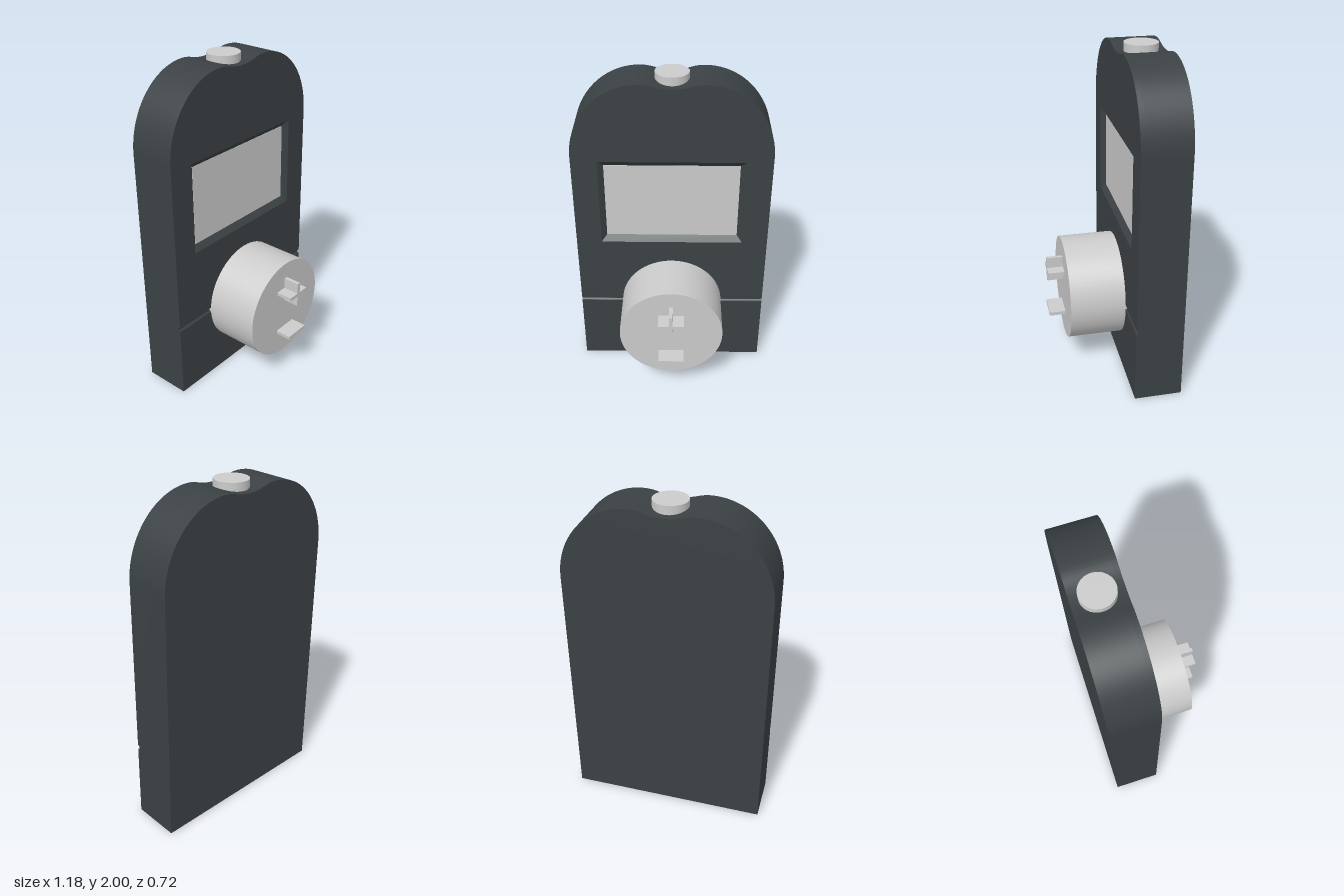
import * as THREE from 'three';
import { toCreasedNormals } from 'three/addons/utils/BufferGeometryUtils.js';

const W = 0.59, BACK = -0.36, FRONT = -0.075, FLOOR = -0.105;
const GROOVE_Y = 0.475, GROOVE_H = 0.03;

const grey = new THREE.MeshStandardMaterial({ color: 0xcccccc });
const dark = new THREE.MeshStandardMaterial({ color: 0x3b4144 });

// Arched outline with a shallow dip at the crown, starting at height y0
function archShape(y0) {
  const s = new THREE.Shape();
  s.moveTo(-W, y0);
  s.lineTo(W, y0);
  s.lineTo(W, 1.53);
  s.absellipse(0.185, 1.53, 0.405, 0.447, 0, Math.PI / 2, false);
  s.bezierCurveTo(0.11, 1.977, 0.1, 1.95, 0, 1.95);
  s.bezierCurveTo(-0.1, 1.95, -0.11, 1.977, -0.185, 1.977);
  s.absellipse(-0.185, 1.53, 0.405, 0.447, Math.PI / 2, Math.PI, false);
  s.lineTo(-W, y0);
  return s;
}

function rectPoints(hx, y0, y1) {
  return [[-hx, y0], [hx, y0], [hx, y1], [-hx, y1]];
}

function extrude(shape, depth) {
  const g = new THREE.ExtrudeGeometry(shape, { depth, bevelEnabled: false, curveSegments: 24 });
  return toCreasedNormals(g, 0.6);
}

// Four sloping faces joining an outer front rectangle to an inner back one
function slopedFrame(outer, zOuter, inner, zInner) {
  const pos = [];
  for (let i = 0; i < 4; i++) {
    const j = (i + 1) % 4;
    const a = [...outer[i], zOuter], b = [...outer[j], zOuter];
    const c = [...inner[j], zInner], d = [...inner[i], zInner];
    pos.push(...a, ...b, ...c, ...a, ...c, ...d);
  }
  const g = new THREE.BufferGeometry();
  g.setAttribute('position', new THREE.Float32BufferAttribute(pos, 3));
  g.computeVertexNormals();
  return g;
}

export function createModel() {
  const model = new THREE.Group();
  model.name = 'handheldTimer';

  function add(parent, name, geometry, material, x = 0, y = 0, z = 0) {
    const mesh = new THREE.Mesh(geometry, material);
    mesh.name = name;
    mesh.position.set(x, y, z);
    parent.add(mesh);
    return mesh;
  }

  // Casing: solid back, and a front layer split by the groove
  const casing = new THREE.Group();
  casing.name = 'casing';
  model.add(casing);
  add(casing, 'casingBack', extrude(archShape(0), FLOOR - BACK), dark, 0, 0, BACK);

  const outer = rectPoints(0.435, 0.935, 1.5);
  const inner = rectPoints(0.402, 0.973, 1.463);
  const face = archShape(GROOVE_Y + GROOVE_H);
  face.holes.push(new THREE.Path(outer.map(([x, y]) => new THREE.Vector2(x, y)).reverse()));
  add(casing, 'upperFace', extrude(face, FRONT - FLOOR), dark, 0, 0, FLOOR);

  const lowerH = GROOVE_Y - GROOVE_H;
  add(casing, 'lowerFace', new THREE.BoxGeometry(2 * W, lowerH, FRONT - FLOOR), dark,
    0, lowerH / 2, (FRONT + FLOOR) / 2);

  // Strip with a rounded groove; profile is drawn as (-z, y) and swept along x
  const strip = new THREE.Shape();
  strip.moveTo(-FRONT, GROOVE_Y - GROOVE_H);
  strip.lineTo(-FLOOR, GROOVE_Y - GROOVE_H);
  strip.lineTo(-FLOOR, GROOVE_Y + GROOVE_H);
  strip.lineTo(-FRONT, GROOVE_Y + GROOVE_H);
  strip.lineTo(-FRONT, GROOVE_Y + 0.015);
  strip.absellipse(-FRONT, GROOVE_Y, 0.013, 0.015, Math.PI / 2, -Math.PI / 2, true);
  strip.closePath();
  const groove = extrude(strip, 2 * W);
  groove.rotateY(Math.PI / 2);
  add(casing, 'groove', groove, dark, -W);

  // Screen set behind a sloped surround
  add(model, 'screenSurround', slopedFrame(outer, FRONT, inner, FLOOR), dark);
  add(model, 'screen', new THREE.BoxGeometry(0.804, 0.49, 0.02), grey, 0, 1.218, FLOOR - 0.008);

  // Control knob with raised plus and minus bars
  const knob = new THREE.Group();
  knob.name = 'knob';
  knob.position.y = 0.472;
  model.add(knob);
  const drum = new THREE.CylinderGeometry(0.319, 0.319, 0.357, 64);
  drum.rotateX(Math.PI / 2);
  add(knob, 'knobDrum', drum, grey, 0, 0, 0.0785);
  const bar = (name, w, h, y) =>
    add(knob, name, new THREE.BoxGeometry(w, h, 0.11), grey, 0, y, 0.302);
  bar('plusHorizontal', 0.158, 0.022, 0.138);
  bar('plusVertical', 0.022, 0.158, 0.138);
  bar('minus', 0.158, 0.022, -0.149);

  // Push button in the crown dip
  add(model, 'topButton', new THREE.CylinderGeometry(0.098, 0.098, 0.1, 48), grey, 0, 1.95, -0.217);

  return model;
}
